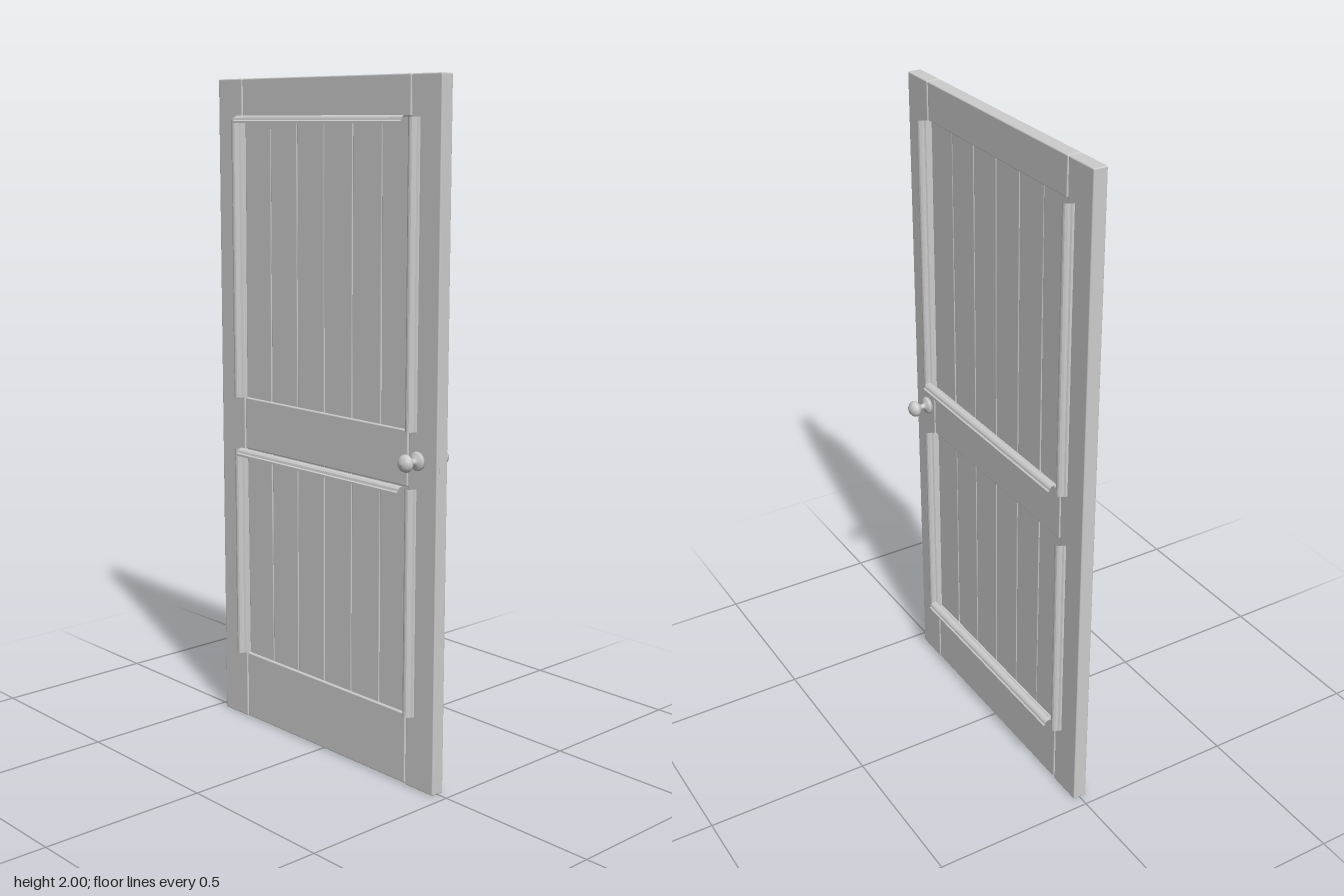
import * as THREE from 'three';
import { RoundedBoxGeometry } from 'three/addons/geometries/RoundedBoxGeometry.js';

const smooth = new THREE.MeshStandardMaterial({ color: 0xcccccc });
const faceted = new THREE.MeshStandardMaterial({ color: 0xcccccc, flatShading: true });

const HALF_Z = 0.021;
const INNER_X = 0.354;
// vertical extent of each panel opening, with the tilt of its outer planks
const openings = [
  { name: 'upper', y0: 1.04, y1: 1.888, tilts: [-0.005, 0, 0, 0, 0, 0.006] },
  { name: 'lower', y0: 0.215, y1: 0.88, tilts: [0.006, 0, 0, 0, 0, 0.006] },
];

function add(parent, name, geometry, material, x = 0, y = 0, z = 0) {
  const mesh = new THREE.Mesh(geometry, material);
  mesh.name = name;
  mesh.position.set(x, y, z);
  parent.add(mesh);
  return mesh;
}

// Board with softened edges
function board(parent, name, x0, x1, y0, y1, halfZ, radius) {
  const geometry = new RoundedBoxGeometry(x1 - x0, y1 - y0, halfZ * 2, 2, radius);
  return add(parent, name, geometry, smooth, (x0 + x1) / 2, (y0 + y1) / 2, 0);
}

// Beaded moulding along z with open ends; profile is w wide in x, h high in y
function mouldingGeometry(length, w, h) {
  const half = [[0.5, 0], [0.5, 0.3], [0.38, 0.42], [0.33, 0.72], [0.2, 0.93], [0.07, 1]];
  const points = [...half, ...half.map(([x, y]) => [-x, y]).reverse()]
    .map(([x, y]) => new THREE.Vector2(x * w, y * h));
  const geometry = new THREE.ExtrudeGeometry(new THREE.Shape(points), { depth: length, bevelEnabled: false });
  // keep only the long sides
  const sides = geometry.groups.find((g) => g.materialIndex === 1);
  for (const key of ['position', 'normal', 'uv']) {
    const a = geometry.attributes[key];
    const part = a.array.slice(sides.start * a.itemSize, (sides.start + sides.count) * a.itemSize);
    geometry.setAttribute(key, new THREE.BufferAttribute(part, a.itemSize));
  }
  geometry.clearGroups();
  return geometry.translate(0, 0, -length / 2);
}

function buildFrame() {
  const frame = new THREE.Group();
  frame.name = 'frame';
  for (const s of [-1, 1]) {
    const c = s * 0.411;
    board(frame, s > 0 ? 'leftStile' : 'rightStile', c - 0.055, c + 0.055, 0, 2, HALF_Z, 0.004);
  }
  const rails = [['bottomRail', 0.003, 0.215], ['middleRail', 0.88, 1.04], ['topRail', 1.888, 2]];
  for (const [name, y0, y1] of rails) {
    board(frame, name, -INNER_X + 0.001, INNER_X - 0.001, y0, y1, HALF_Z, 0.004);
  }
  return frame;
}

function buildPanel({ name, y0, y1, tilts }) {
  const panel = new THREE.Group();
  panel.name = name + 'Panel';
  const pitch = (INNER_X * 2) / tilts.length;

  // upright planks, the outer ones slightly askew
  tilts.forEach((tilt, i) => {
    const x = -INNER_X + i * pitch;
    const plank = board(panel, 'plank', x + 0.0005, x + pitch - 0.0005, y0 - 0.005, y1 + 0.005, 0.012, 0.003);
    plank.rotation.z = tilt;
  });

  // upright mouldings on both faces
  const upright = mouldingGeometry(y1 - y0, 0.034, 0.025).rotateX(Math.PI / 2);
  for (const sx of [-1, 1]) {
    for (const sz of [-1, 1]) {
      const m = add(panel, 'uprightMoulding', upright, faceted, sx * 0.372, (y0 + y1) / 2, sz * 0.02);
      if (sz < 0) m.rotation.y = Math.PI;
    }
  }

  // cross mouldings: front under the upper rail, back on the lower rail
  const cross = mouldingGeometry(INNER_X * 2 - 0.004, 0.038, 0.022).rotateY(Math.PI / 2);
  add(panel, 'frontCrossMoulding', cross, faceted, 0, y1 - 0.018, 0.041);
  add(panel, 'backCrossMoulding', cross, faceted, 0, y0, -0.041);
  return panel;
}

function buildHandle() {
  const handle = new THREE.Group();
  handle.name = 'handle';
  handle.position.set(0.394, 0.96, 0);

  // rose, neck and knob in one turned profile
  const profile = [
    [0, 0.018], [0.027, 0.018], [0.027, 0.028], [0.023, 0.033], [0.012, 0.036], [0.008, 0.042],
    [0.008, 0.049], [0.011, 0.053], [0.02, 0.059], [0.025, 0.066], [0.0255, 0.071],
    [0.022, 0.079], [0.014, 0.086], [0, 0.089],
  ].map(([r, h]) => new THREE.Vector2(r, h));
  const knob = new THREE.LatheGeometry(profile, 20).rotateX(Math.PI / 2);
  add(handle, 'frontKnob', knob, smooth);
  add(handle, 'backKnob', knob, smooth).rotation.y = Math.PI;

  // latch plate on the door edge
  add(handle, 'latchPlate', new THREE.BoxGeometry(0.006, 0.05, 0.02), smooth, 0.07, 0, 0);
  return handle;
}

export function createModel() {
  const door = new THREE.Group();
  door.name = 'panelDoor';
  door.add(buildFrame(), ...openings.map(buildPanel), buildHandle());
  return door;
}
